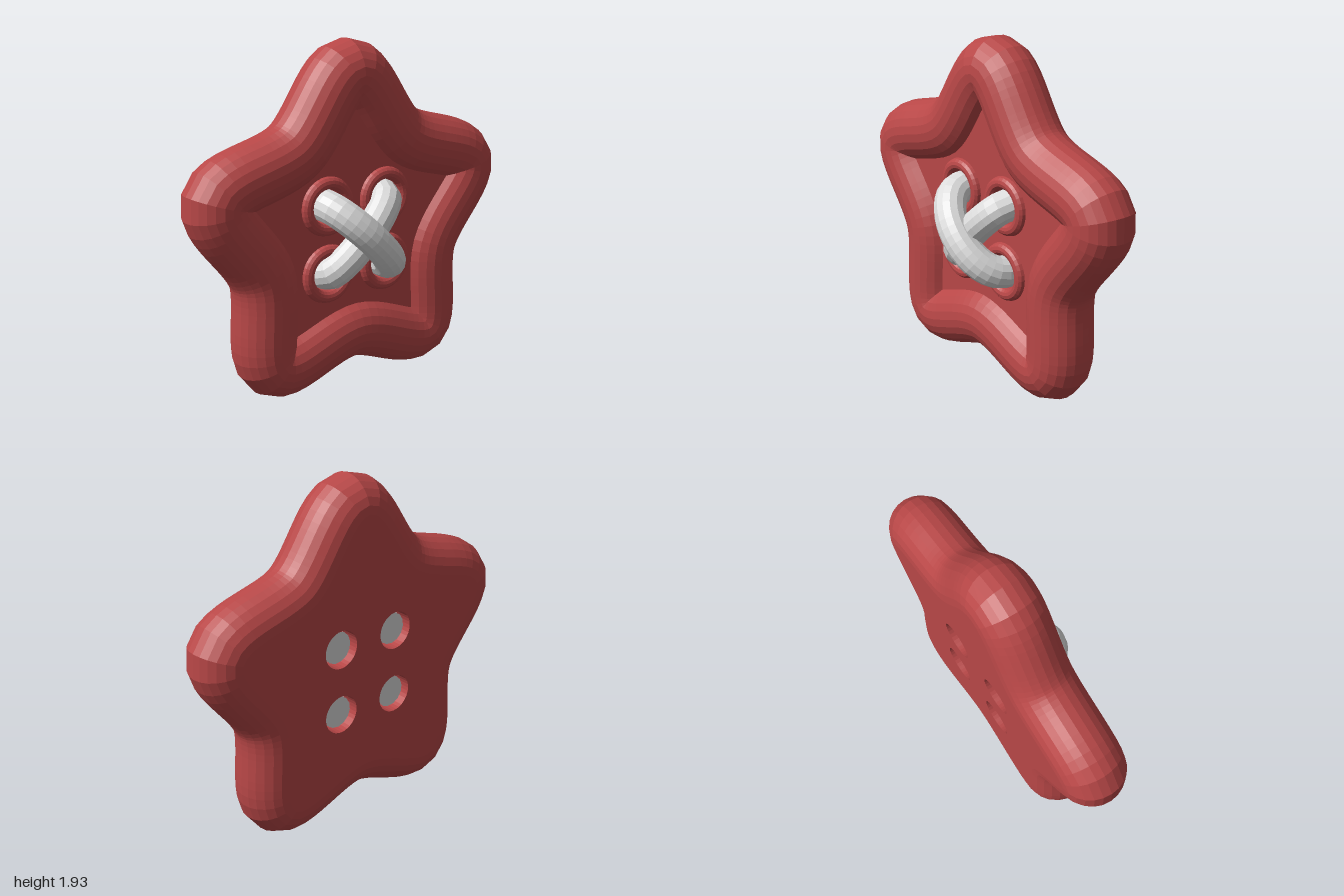
import * as THREE from 'three';
import { mergeGeometries } from 'three/addons/utils/BufferGeometryUtils.js';

const CENTER_Y = 0.888; // middle of the star
const HOLE_Y = 0.86;    // middle of the four holes
const HOLE = 0.19;      // hole offset from the middle
const THREAD_R = 0.09;

export function createModel() {
  const red = new THREE.MeshStandardMaterial({ color: 0xb84747, flatShading: true });
  red.name = 'button red';
  const white = new THREE.MeshStandardMaterial({ color: 0xdcdcdc, flatShading: true });
  white.name = 'thread white';

  const group = new THREE.Group();
  group.name = 'starButton';
  const add = (name, geometry, material, x, y, z) => {
    const mesh = new THREE.Mesh(geometry, material);
    mesh.name = name;
    mesh.position.set(x, y, z);
    group.add(mesh);
    return mesh;
  };

  // Rounded star path: five tips and five valleys
  const points = [];
  for (let i = 0; i < 10; i++) {
    const r = i % 2 ? 0.585 : 0.86;
    const a = Math.PI / 2 + (i * Math.PI) / 5;
    points.push(new THREE.Vector3(r * Math.cos(a), r * Math.sin(a), 0));
  }
  const star = new THREE.CatmullRomCurve3(points, true);

  // Puffy rim
  add('rim', new THREE.TubeGeometry(star, 120, 0.18, 24, true), red, 0, CENTER_Y, -0.09);

  // Plate with four thread holes, flush with the back of the rim
  const corners = [[-1, 1], [1, 1], [-1, -1], [1, -1]];
  const outline = new THREE.Shape(star.getSpacedPoints(120).slice(0, -1).map(p => new THREE.Vector2(p.x, p.y)));
  for (const [sx, sy] of corners) {
    const hole = new THREE.Path();
    hole.absarc(sx * HOLE, HOLE_Y - CENTER_Y + sy * HOLE, 0.107, 0, Math.PI * 2, true);
    outline.holes.push(hole);
  }
  const plate = new THREE.ExtrudeGeometry(outline, { depth: 0.27, bevelEnabled: false, curveSegments: 16 });
  add('plate', plate, red, 0, CENTER_Y, -0.27);

  // Raised ring around each hole
  const ring = new THREE.TorusGeometry(0.13, 0.035, 12, 32);
  for (const [sx, sy] of corners) add('holeRing', ring, red, sx * HOLE, HOLE_Y + sy * HOLE, 0);

  // Two crossing threads: straight through the holes, arched over the front
  const makeThread = (name, height, angle) => {
    const reach = HOLE * Math.SQRT2;
    const back = -0.235;
    const path = [new THREE.Vector3(-reach, 0, back), new THREE.Vector3(-reach, 0, back / 2)];
    for (let i = 0; i <= 12; i++) {
      const a = Math.PI * (1 - i / 12);
      path.push(new THREE.Vector3(reach * Math.cos(a), 0, height * Math.sin(a)));
    }
    path.push(new THREE.Vector3(reach, 0, back / 2), new THREE.Vector3(reach, 0, back));
    const tube = new THREE.TubeGeometry(new THREE.CatmullRomCurve3(path), 28, THREAD_R, 14, false);
    const caps = [-reach, reach].map(x =>
      new THREE.CircleGeometry(THREAD_R, 14).rotateY(Math.PI).translate(x, 0, back));
    add(name, mergeGeometries([tube, ...caps]), white, 0, HOLE_Y, 0).rotation.z = angle;
  };
  makeThread('upperThread', 0.18, -Math.PI / 4);
  makeThread('lowerThread', 0.09, Math.PI / 4);

  return group;
}
